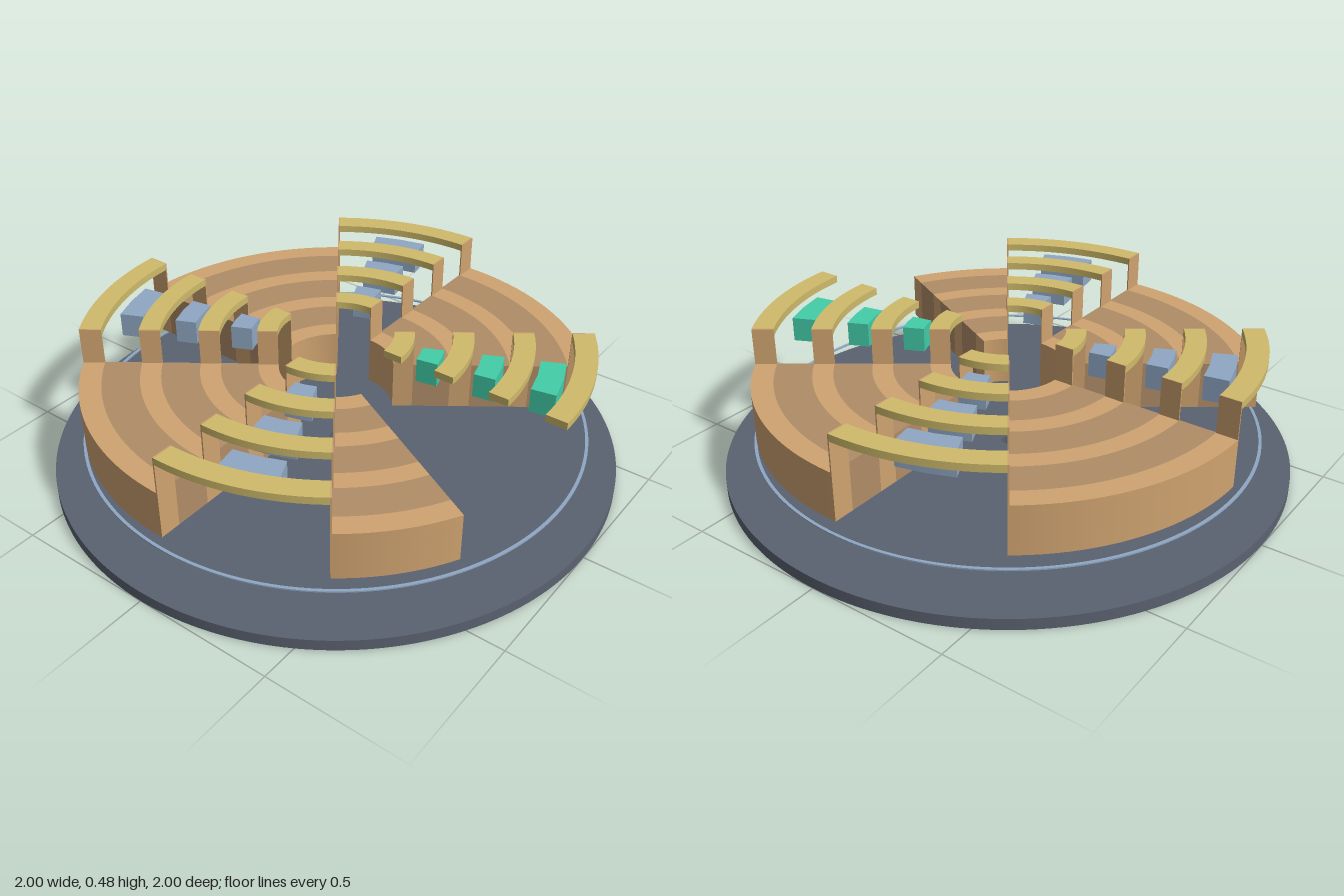
import * as THREE from 'three';
import { toCreasedNormals } from 'three/addons/utils/BufferGeometryUtils.js';

const material = (name, color) => {
  const m = new THREE.MeshStandardMaterial({ color });
  m.name = name;
  return m;
};
const DEG = Math.PI / 180;

// Extrude a flat shape upwards from y0 to y1
function raise(shape, y0, y1, curveSegments) {
  const geo = new THREE.ExtrudeGeometry(shape, { depth: y1 - y0, bevelEnabled: false, curveSegments });
  geo.rotateX(-Math.PI / 2);
  geo.translate(0, y0, 0);
  return toCreasedNormals(geo, 30 * DEG);
}

// Ring sector; angles in degrees, counter-clockwise from +x seen from above
function sector(r0, r1, a0, a1, y0, y1, segments = 24) {
  const s = new THREE.Shape();
  s.absarc(0, 0, r1, a0 * DEG, a1 * DEG, false);
  s.absarc(0, 0, r0, a1 * DEG, a0 * DEG, true);
  s.closePath();
  return raise(s, y0, y1, segments);
}

// Full ring
function ring(r0, r1, y0, y1) {
  const s = new THREE.Shape();
  s.absarc(0, 0, r1, 0, Math.PI * 2, false);
  const hole = new THREE.Path();
  hole.absarc(0, 0, r0, 0, Math.PI * 2, true);
  s.holes.push(hole);
  return raise(s, y0, y1, 96);
}

export function createModel() {
  const model = new THREE.Group();
  model.name = 'segmentedDisc';
  const slate = material('slate', 0x5b6270);
  const lightWood = material('lightWood', 0xcfa370);
  const darkWood = material('darkWood', 0xb08d68);
  const brass = material('brass', 0xcfbb6b);
  const blue = material('steelBlue', 0x90a8c4);
  const teal = material('teal', 0x43cda8);

  const add = (parent, name, geo, mat) => {
    const mesh = new THREE.Mesh(geo, mat);
    mesh.name = name;
    parent.add(mesh);
  };

  // Base plate with centre hole, and the thin ring floating above it
  add(model, 'basePlate', ring(0.025, 1, 0, 0.04), slate);
  add(model, 'thinRing', ring(0.882, 0.893, 0.128, 0.133), blue);

  // Concentric bands, light and dark in turn
  const radii = [0.2, 0.27, 0.4, 0.472, 0.605, 0.677, 0.807, 0.883];
  const bodyBottom = 0.177, bodyTop = 0.35, archBottom = 0.458, archTop = 0.484;

  // Banded sectors
  [[36, 90], [126, 180], [216, 270], [306, 332]].forEach(([a0, a1], n) => {
    const body = new THREE.Group();
    body.name = 'bandedSector' + (n + 1);
    for (let i = 0; i < 7; i++) {
      add(body, 'band', sector(radii[i], radii[i + 1], a0, a1, bodyBottom, bodyTop),
        i % 2 ? darkWood : lightWood);
    }
    model.add(body);
  });

  // Bridges across the gaps: curved strips, thin end posts and hanging blocks
  const blocks = [[0.3, 0.375], [0.503, 0.578], [0.698, 0.783]];
  [0, 90, 180, 270].forEach((start, n) => {
    const end = start + 36, mid = start + 18;
    const bridge = new THREE.Group();
    bridge.name = 'bridge' + (n + 1);
    for (let i = 0; i < 7; i += 2) {
      const r0 = radii[i], r1 = radii[i + 1];
      const thin = 0.005 / r1 / DEG;
      add(bridge, 'strip', sector(r0, r1, start, end, archBottom, archTop), brass);
      add(bridge, 'endPost', sector(r0, r1, end, end + thin, bodyTop, archTop, 1), lightWood);
      // the first bridge has a free end
      if (n > 0) add(bridge, 'startPost', sector(r0, r1, start - thin, start, bodyTop, archTop, 1), lightWood);
    }
    for (const [r0, r1] of blocks) {
      add(bridge, 'block', sector(r0, r1, mid - 7.2, mid + 7.2, 0.37, 0.457, 1), n === 0 ? teal : blue);
    }
    model.add(bridge);
  });

  return model;
}
